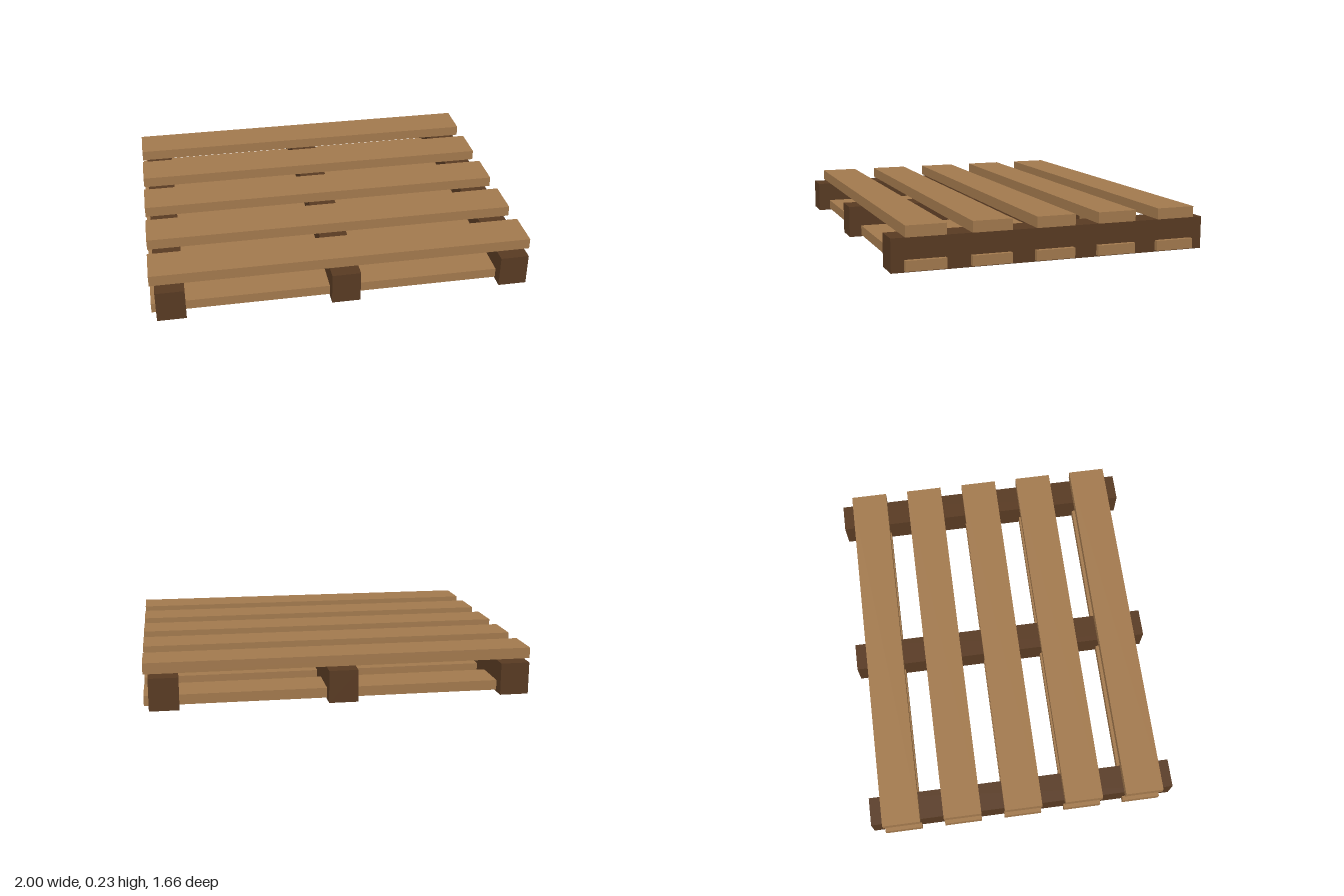
import * as THREE from 'three';

export function createModel() {
  const pallet = new THREE.Group();
  pallet.name = 'pallet';

  const lightWood = new THREE.MeshStandardMaterial({ color: 0xa2794d });
  lightWood.name = 'lightWood';
  const darkWood = new THREE.MeshStandardMaterial({ color: 0x583a22 });
  darkWood.name = 'darkWood';

  // Box placed by its bottom height
  function beam(name, material, [w, h, d], x, bottom, z) {
    const mesh = new THREE.Mesh(new THREE.BoxGeometry(w, h, d), material);
    mesh.name = name;
    mesh.position.set(x, bottom + h / 2, z);
    pallet.add(mesh);
  }

  // Three runners from front to back
  ['right', 'middle', 'left'].forEach((side, i) => {
    beam(`${side}Runner`, darkWood, [0.15, 0.168, 1.664], (i - 1) * 0.9, 0, 0);
  });

  // Five deck boards above, five matching boards passing through the runners below
  for (let i = 0; i < 5; i++) {
    const z = (i - 2) * 0.3325;
    beam(`topBoard${i + 1}`, lightWood, [2, 0.057, 0.205], 0, 0.173, z);
    beam(`bottomBoard${i + 1}`, lightWood, [2, 0.052, 0.205], 0, 0.009, z);
  }

  return pallet;
}
